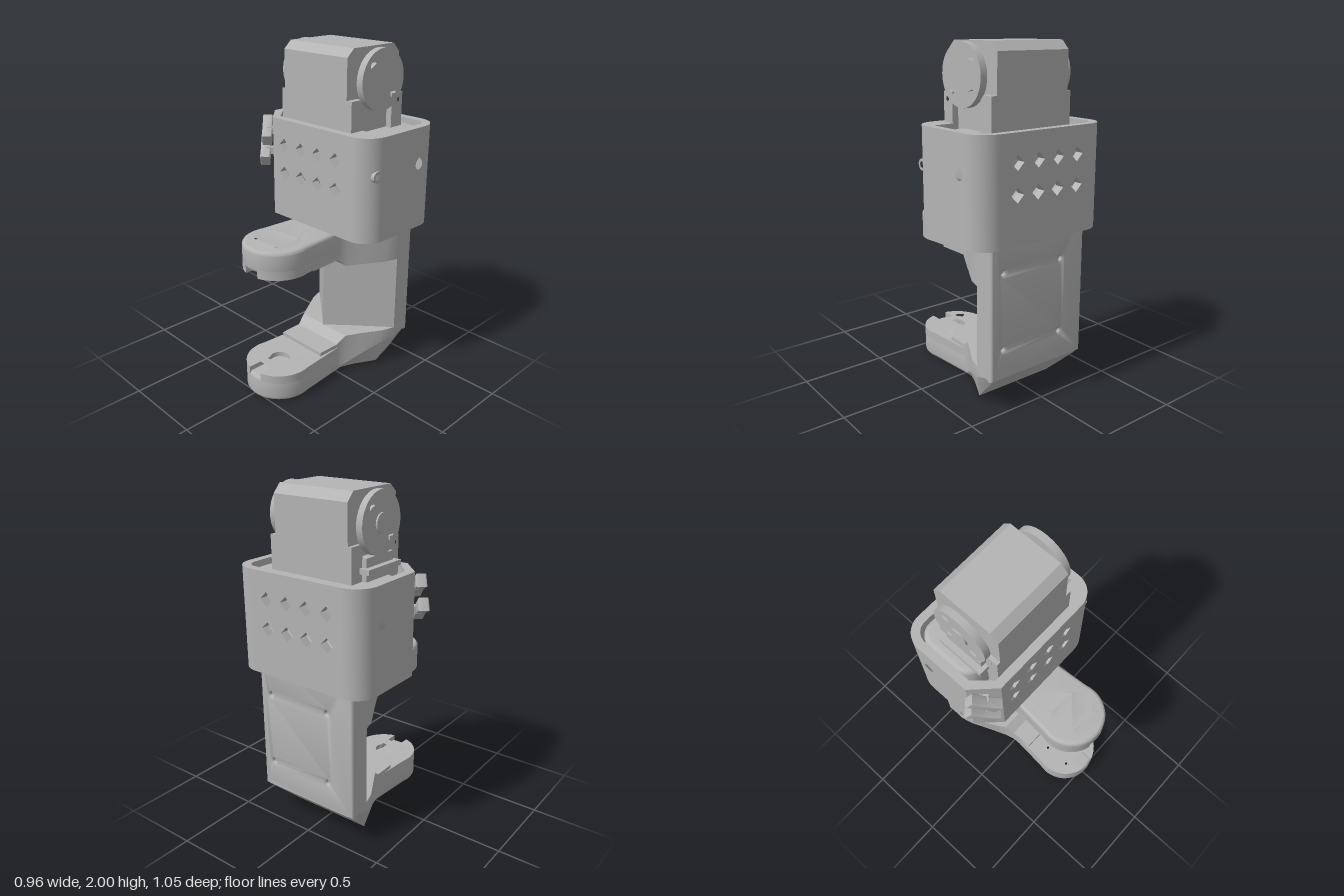
import * as THREE from 'three';
import { toCreasedNormals } from 'three/addons/utils/BufferGeometryUtils.js';

const CX = 0.015; // centre line of the finger body

export function createModel() {
  const root = new THREE.Group();
  root.name = 'roboticGripper';
  const grey = new THREE.MeshStandardMaterial({ color: 0xb4b4b4 });
  grey.name = 'plasticGrey';

  const add = (name, geo, parent = root) => {
    const m = new THREE.Mesh(geo, grey);
    m.name = name;
    parent.add(m);
    return m;
  };
  const box = (name, x0, x1, y0, y1, z0, z1) =>
    add(name, new THREE.BoxGeometry(x1 - x0, y1 - y0, z1 - z0)
      .translate((x0 + x1) / 2, (y0 + y1) / 2, (z0 + z1) / 2));

  // Outline helpers
  const arc = (cx, cy, r, a0, a1, n = 8) => Array.from({ length: n + 1 }, (_, i) => {
    const a = a0 + (a1 - a0) * i / n;
    return [cx + r * Math.cos(a), cy + r * Math.sin(a)];
  });
  const circle = (cx, cy, r, n = 24) => arc(cx, cy, r, 0, Math.PI * 2 * (1 - 1 / n), n - 1);
  // Teardrop with its tip pointing along angle t
  const drop = (cx, cy, r, t) => [
    ...arc(cx, cy, r, t + Math.PI / 4, t + Math.PI * 7 / 4, 18),
    [cx + r * 1.414 * Math.cos(t), cy + r * 1.414 * Math.sin(t)]];
  const rect = (a0, a1, b0, b1) => [[a0, b0], [a1, b0], [a1, b1], [a0, b1]];
  const P = Math.PI;

  // Extrusion along an axis; outline pairs are (x,z) for y, (z,y) for x, (x,y) for z
  const prism = (axis, pts, holes, from, to, bevel = 0) => {
    const conv = list => list.map(([a, b]) =>
      new THREE.Vector2(axis === 'x' ? -a : a, axis === 'y' ? -b : b));
    const shape = new THREE.Shape(conv(pts));
    shape.holes = holes.map(h => new THREE.Path(conv(h)));
    const geo = new THREE.ExtrudeGeometry(shape, {
      depth: to - from - 2 * bevel, bevelEnabled: bevel > 0,
      bevelThickness: bevel, bevelSize: bevel, bevelOffset: -bevel, bevelSegments: 4,
    });
    geo.translate(0, 0, from + bevel);
    if (axis === 'y') geo.rotateX(-P / 2);
    if (axis === 'x') geo.rotateY(P / 2);
    return toCreasedNormals(geo, 0.6);
  };

  // Loft through sections [z, half width, bottom half width, bottom y, shoulder y, top y]
  const loft = sections => {
    const rings = sections.map(([z, w, wb, y0, ym, y1]) =>
      [[-wb, y0], [wb, y0], [w, ym], [w, y1], [-w, y1], [-w, ym]].map(([x, y]) => [x + CX, y, z]));
    const out = [];
    const tri = (...p) => p.forEach(v => out.push(...v));
    for (let i = 0; i < rings.length - 1; i++) {
      for (let j = 0; j < 6; j++) {
        const k = (j + 1) % 6;
        const a = rings[i][j], b = rings[i][k], c = rings[i + 1][k], d = rings[i + 1][j];
        tri(a, d, c);
        tri(a, c, b);
      }
    }
    const f = rings[0], r = rings[rings.length - 1];
    for (let j = 1; j < 5; j++) {
      tri(f[0], f[j], f[j + 1]);
      tri(r[0], r[j + 1], r[j]);
    }
    const geo = new THREE.BufferGeometry();
    geo.setAttribute('position', new THREE.Float32BufferAttribute(out, 3));
    return toCreasedNormals(geo, 0.4);
  };

  // Column with a V-shaped front and a drilled back plate
  add('column', prism('y', [[-0.32, -0.46], [0.35, -0.46], [0.35, -0.35], [0.01, -0.055], [-0.32, -0.35]], [], 0.2, 1.19));
  const screws = [];
  for (const x of [-0.14, 0.27]) for (const y of [0.37, 0.81]) screws.push(circle(x, y, 0.011, 12));
  add('backPlate', prism('z', rect(-0.32, 0.35, 0.19, 1.1), screws, -0.48, -0.43, 0.02));

  // Flared roots joining the prongs to the column
  add('lowerRoot', loft([
    [0.14, 0.17, 0.15, 0.01, 0.03, 0.195], [0, 0.172, 0.15, 0, 0.03, 0.195],
    [-0.06, 0.19, 0.16, 0, 0.04, 0.24], [-0.14, 0.235, 0.19, 0, 0.09, 0.243],
    [-0.27, 0.31, 0.26, 0, 0.16, 0.243], [-0.35, 0.335, 0.29, 0.076, 0.18, 0.243],
    [-0.455, 0.335, 0.315, 0.176, 0.21, 0.243], [-0.48, 0.315, 0.3, 0.2, 0.22, 0.243]]));
  add('upperRoot', loft([
    [0.2, 0.175, 0.175, 0.77, 0.8, 0.93], [0, 0.17, 0.17, 0.77, 0.8, 0.937],
    [-0.06, 0.19, 0.19, 0.72, 0.75, 0.95], [-0.14, 0.235, 0.235, 0.72, 0.75, 0.955],
    [-0.27, 0.31, 0.31, 0.72, 0.75, 0.96], [-0.35, 0.335, 0.335, 0.72, 0.75, 0.96],
    [-0.46, 0.335, 0.335, 0.72, 0.75, 0.96]]));

  // Prongs: drilled rounded slab plus an inner layer with an open slot
  const px = 0.02, pz = 0.325;
  const sides = [[px - 0.165, -0.08], [px + 0.165, -0.08]];
  const slab = [...sides, ...arc(px, pz, 0.2, -0.25, P + 0.25, 32)];
  const slotted = [...sides, ...arc(px, pz, 0.2, -0.25, P / 2 - 0.25, 16),
    ...arc(px, pz, 0.06, 0.7, -P - 0.7, 20), ...arc(px, pz, 0.2, P / 2 + 0.25, P + 0.25, 16)];
  const bolts = [];
  for (const x of [-0.065, 0.105]) for (const z of [0.24, 0.41]) bolts.push(drop(x, z, 0.03, P));
  const pivot = drop(px, pz, 0.02, P);
  add('upperProng', prism('y', slab, [...bolts, pivot], 0.82, 0.955, 0.022));
  add('upperProngInner', prism('y', slotted, bolts, 0.79, 0.845));
  add('lowerProng', prism('y', slab, bolts, 0.003, 0.142, 0.022));
  add('lowerProngInner', prism('y', slotted, bolts, 0.118, 0.172));

  // Sleeve walls with diamond vents and round ports
  const Y0 = 0.96, Y1 = 1.56;
  const vents = [];
  for (const x of [-0.195, -0.055, 0.08, 0.22])
    for (const y of [1.235, 1.405])
      vents.push([[x - 0.042, y], [x, y - 0.042], [x + 0.042, y], [x, y + 0.042]]);
  add('sleeveFront', prism('z', rect(-0.29, 0.335, Y0, Y1), vents, 0.02, 0.07));
  add('sleeveBack', prism('z', rect(-0.29, 0.335, Y0, Y1), vents, -0.53, -0.48));
  const ports = [-0.01, -0.36].map(z => drop(z, 1.345, 0.03, P / 2));
  add('sleeveRightWall', prism('x', rect(-0.4, 0.015, Y0, Y1), [ports[1]], 0.415, 0.465).clone()).visible = true;
  add('sleeveLeftWall', prism('x', rect(-0.4, -0.06, Y0, Y1), [ports[1]], -0.42, -0.37));
  const corner = (name, cx, cz, a0) => add(name, prism('y',
    [...arc(cx, cz, 0.13, a0, a0 + P / 2, 12), ...arc(cx, cz, 0.08, a0 + P / 2, a0, 12)], [], Y0, Y1));
  corner('sleeveBackCorner', 0.335, -0.4, -P / 2);
  corner('sleeveBackCorner', -0.29, -0.4, -P);
  root.remove(root.getObjectByName('sleeveRightWall'));
  add('sleeveRightWall', prism('x', rect(-0.4, -0.06, Y0, Y1), [ports[1]], 0.415, 0.465));
  add('sleeveFrontCorner', prism('y',
    [[0.29, -0.07], [0.465, -0.07], ...arc(0.335, -0.06, 0.13, 0, P / 2, 12), [0.29, 0.07]], [], Y0, Y1));
  add('sleeveChamfer', prism('y',
    [[-0.42, -0.06], [-0.29, 0.07], [-0.25, 0.07], [-0.25, 0.02], [-0.28, 0.02], [-0.37, -0.08], [-0.42, -0.08]], [], Y0, Y1));
  // Raised collar around the front port
  add('portCollar', prism('x', circle(-0.01, 1.345, 0.033), [circle(-0.01, 1.345, 0.018)], 0.44, 0.462));

  // Rounded motor tray standing on two posts
  const tray = [...arc(0.305, -0.185, 0.1, 0, P / 2), ...arc(-0.265, -0.185, 0.1, P / 2, P),
    ...arc(-0.265, -0.378, 0.1, P, P * 1.5), ...arc(0.305, -0.378, 0.1, P * 1.5, P * 2)];
  add('motorTray', prism('y', tray, [], 1.28, 1.535, 0.03));
  box('trayPost', -0.32, -0.275, 1.15, 1.35, -0.4, -0.15);
  box('trayPost', 0.3, 0.345, 1.15, 1.35, -0.4, -0.15);

  // Motor body with chamfered top
  add('motorBody', prism('x', [[0.02, 1.24], [0.02, 1.955], [-0.03, 2], [-0.352, 2], [-0.4, 1.95], [-0.4, 1.24]], [], -0.235, 0.253));
  const ears = [[-0.06, 0.02, -0.015], [-0.4, -0.31, -0.362]];
  for (const [z0, z1, hz] of ears) {
    const hole = [circle(hz, 1.69, 0.013, 12)];
    add('motorEar', prism('x', rect(z0, z1, 1.5, 1.73), hole, 0.25, 0.29));
    add('motorEar', prism('x', rect(z0, z1, 1.5, 1.73), hole, -0.258, -0.23));
  }
  box('connectorRidge', -0.32, -0.23, 1.58, 1.61, -0.335, -0.045);
  box('connectorBase', -0.285, -0.23, 1.52, 1.66, -0.31, -0.07);

  // Output horns on both sides of the motor
  const hy = 1.825, hz = -0.19;
  const hornHoles = [];
  for (const a of [-0.083, 0.083]) for (const b of [-0.083, 0.083]) hornHoles.push(circle(hz + a, hy + b, 0.023, 16));
  const disc = (name, r, x0, x1, holes = []) => add(name, prism('x', circle(hz, hy, r, 48), holes, x0, x1));
  disc('rightHorn', 0.17, 0.285, 0.326, hornHoles);
  disc('rightHub', 0.085, 0.25, 0.29);
  disc('leftHorn', 0.17, -0.294, -0.256, hornHoles);
  disc('leftHub', 0.085, -0.26, -0.23);
  disc('leftHornCap', 0.055, -0.304, -0.29);

  // Tilted bow-tie cleats on the chamfered corner
  const bow = [[-0.09, -0.038], [0, -0.026], [0.09, -0.038], [0.09, 0.038], [0, 0.026], [-0.09, 0.038]];
  for (const [x, y, z] of [[-0.365, 1.46, 0.01], [-0.385, 1.33, 0.01]]) {
    const cleat = new THREE.Group();
    cleat.name = 'cleat';
    cleat.position.set(x, y, z);
    cleat.rotation.y = -P / 4;
    add('cleatBar', prism('z', bow, [], 0, 0.06, 0.008), cleat).rotation.z = -0.57;
    add('cleatStem', new THREE.BoxGeometry(0.05, 0.04, 0.06), cleat);
    root.add(cleat);
  }
  return root;
}
